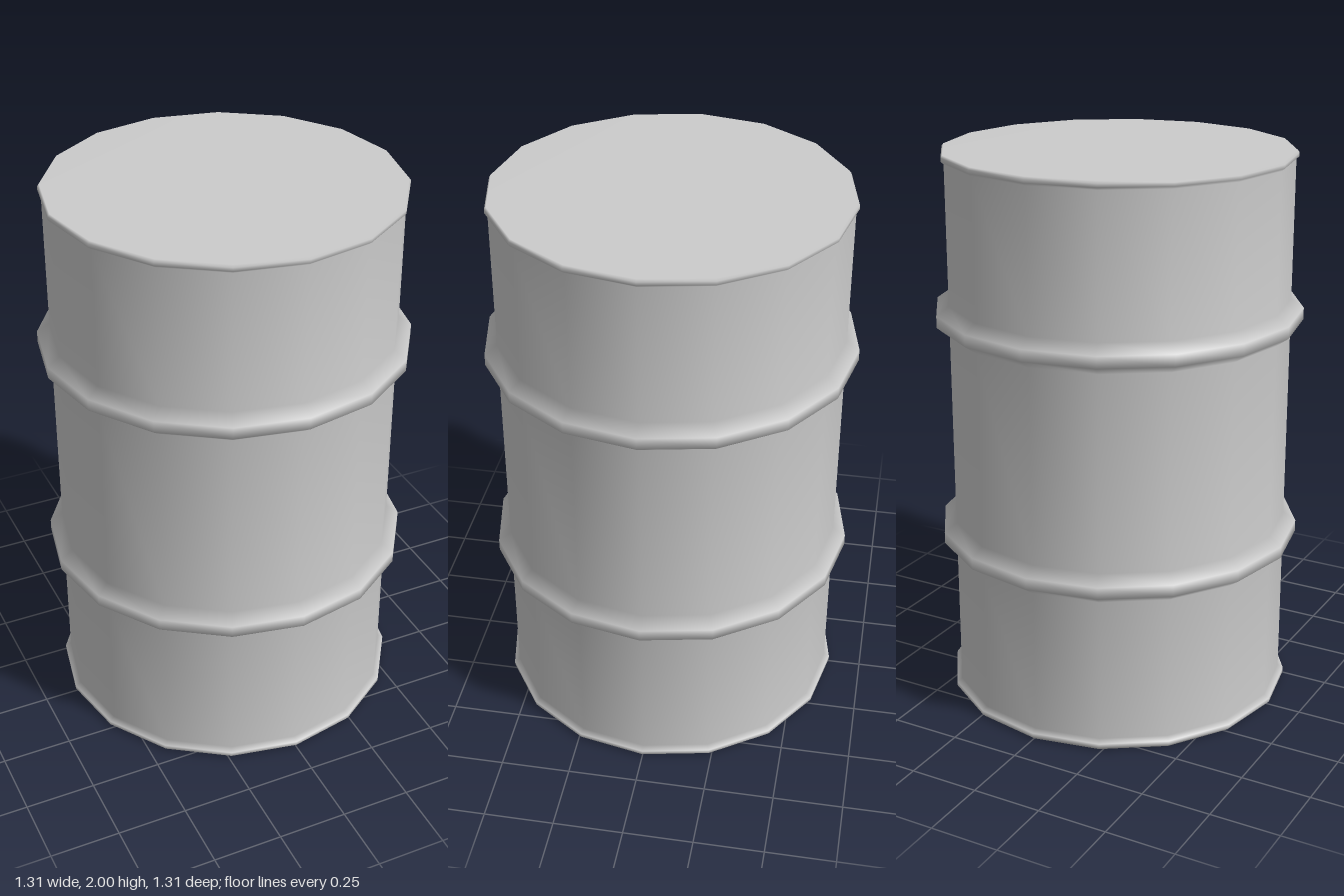
import * as THREE from 'three';

const SIDES = 16;
const WALL = 0.61;

// Raised hoop with bevelled shoulders, listed from bottom to top
const hoop = (y) => [
  [WALL, y - 0.053],
  [0.655, y - 0.021],
  [0.655, y + 0.021],
  [WALL, y + 0.053],
];

export function createModel() {
  const group = new THREE.Group();
  group.name = 'barrel';

  // Closed outline from the bottom centre to the top centre
  const profile = [
    [0, 0],
    // bottom lip
    [0.62, 0], [0.63, 0.01], [0.63, 0.025], [WALL, 0.036],
    ...hoop(0.615),
    ...hoop(1.425),
    // top lip
    [WALL, 1.97], [0.62, 1.979], [0.62, 1.992], [0.614, 2],
    [0, 2],
  ].map(([r, y]) => new THREE.Vector2(r, y));

  const body = new THREE.Mesh(
    new THREE.LatheGeometry(profile, SIDES),
    new THREE.MeshStandardMaterial({ color: 0xcccccc })
  );
  body.name = 'barrelBody';
  group.add(body);

  return group;
}
